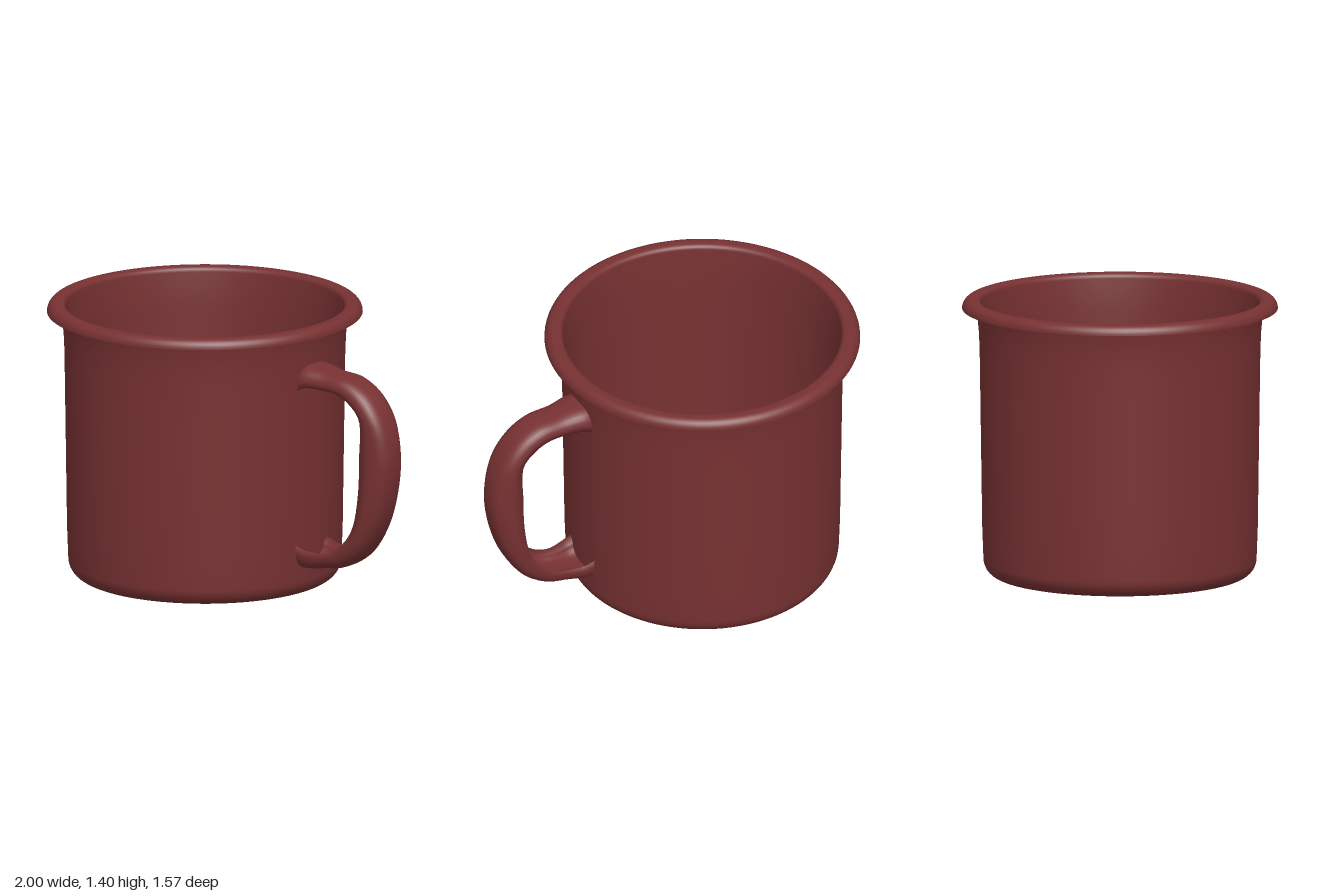
import * as THREE from 'three';

const CENTRE_X = -0.21;
const V = (x, y) => new THREE.Vector2(x, y);

// Points on a rounded corner, angles in degrees
function arc(cx, cy, rx, ry, from, to, steps) {
  return Array.from({ length: steps + 1 }, (_, i) => {
    const a = THREE.MathUtils.degToRad(from + ((to - from) * i) / steps);
    return V(cx + rx * Math.cos(a), cy + ry * Math.sin(a));
  });
}

// Channel-shaped handle lofted between an outer and an inner edge curve
function handleGeometry() {
  const curve = (pts) => new THREE.CatmullRomCurve3(pts.map(([x, y]) => new THREE.Vector3(x, y, 0)), false, 'centripetal');
  const outer = curve([[0.46, 1.2], [0.52, 1.195], [0.62, 1.175], [0.75, 1.16], [0.87, 1.09], [0.96, 0.96],
    [1.0, 0.78], [0.98, 0.59], [0.92, 0.41], [0.82, 0.26], [0.7, 0.185], [0.6, 0.165], [0.52, 0.152], [0.46, 0.148]]);
  const inner = curve([[0.46, 1.07], [0.52, 1.095], [0.6, 1.095], [0.7, 1.09], [0.78, 1.055], [0.85, 0.98],
    [0.853, 0.78], [0.845, 0.59], [0.81, 0.42], [0.755, 0.335], [0.67, 0.272], [0.6, 0.255], [0.52, 0.262], [0.46, 0.28]]);
  const power = (v, e) => Math.sign(v) * Math.abs(v) ** e;
  const ring = 32, stations = 64, half = ring / 2;
  const positions = [], index = [];
  for (let i = 0; i <= stations; i++) {
    const t = i / stations;
    const o = outer.getPoint(t), n = inner.getPoint(t);
    const endDistance = Math.min(t, 1 - t);
    const flare = 1 - THREE.MathUtils.smoothstep(endDistance, 0.04, 0.17);
    const w = 0.104 + 0.021 * flare;
    for (let j = 0; j < ring; j++) {
      // First half is the convex back, second half the groove
      const back = j <= half;
      const a = back ? (Math.PI * j) / half : (Math.PI * (ring - j)) / half;
      const z = -power(Math.cos(a), 0.7) * (back ? w : w - 0.028);
      const s = power(Math.max(0, Math.sin(a)), 0.7) * (back ? 1 : 0.55 + 0.1 * flare);
      positions.push(n.x + (o.x - n.x) * s, n.y + (o.y - n.y) * s, z);
      if (i < stations) {
        const p = i * ring + j, q = i * ring + ((j + 1) % ring);
        index.push(p, q, p + ring, q, q + ring, p + ring);
      }
    }
  }
  const g = new THREE.BufferGeometry();
  g.setAttribute('position', new THREE.Float32BufferAttribute(positions, 3));
  g.setIndex(index);
  g.computeVertexNormals();
  return g;
}

export function createModel() {
  const model = new THREE.Group();
  model.name = 'mug';
  const enamel = new THREE.MeshStandardMaterial({ color: 0x773132 });
  enamel.name = 'red enamel';
  const grey = new THREE.MeshStandardMaterial({ color: 0x8c8484 });
  grey.name = 'bare grey';

  const add = (name, geometry, material = enamel, x = CENTRE_X) => {
    const mesh = new THREE.Mesh(geometry, material);
    mesh.name = name;
    mesh.position.x = x;
    model.add(mesh);
    return mesh;
  };
  const turn = (name, points) => add(name, new THREE.LatheGeometry(points, 96));

  // Outer wall, flaring slightly under the rim
  turn('outerWall', [
    V(0, 0.005), V(0.4, 0.005), V(0.58, 0.004),
    ...arc(0.6, 0.09, 0.08, 0.087, -90, 0, 10),
    V(0.686, 0.25), V(0.691, 0.6), V(0.696, 0.95), V(0.699, 1.15),
    V(0.703, 1.24), V(0.709, 1.3), V(0.72, 1.36),
  ]);

  // Rolled rim
  turn('rimUnderside', [V(0.715, 1.353), V(0.785, 1.35)]);
  turn('rim', [
    ...arc(0.74, 1.352, 0.046, 0.048, 0, 90, 8),
    V(0.725, 1.4), ...arc(0.72, 1.375, 0.026, 0.024, 100, 180, 5),
  ]);

  // Inner wall and floor
  turn('innerWall', [
    V(0.694, 1.376), V(0.686, 1.3), V(0.68, 1.2), V(0.674, 0.9), V(0.668, 0.5), V(0.662, 0.2),
    ...arc(0.58, 0.12, 0.08, 0.085, 0, -90, 8),
    V(0.4, 0.034), V(0, 0.034),
  ]);

  add('handle', handleGeometry(), enamel, 0);

  // Small worn patch under the base
  const patch = add('basePatch', new THREE.CircleGeometry(0.175, 32).scale(1, 0.72, 1).rotateX(Math.PI / 2), grey);
  patch.position.y = 0.001;
  patch.rotation.y = -Math.PI / 4;

  return model;
}
